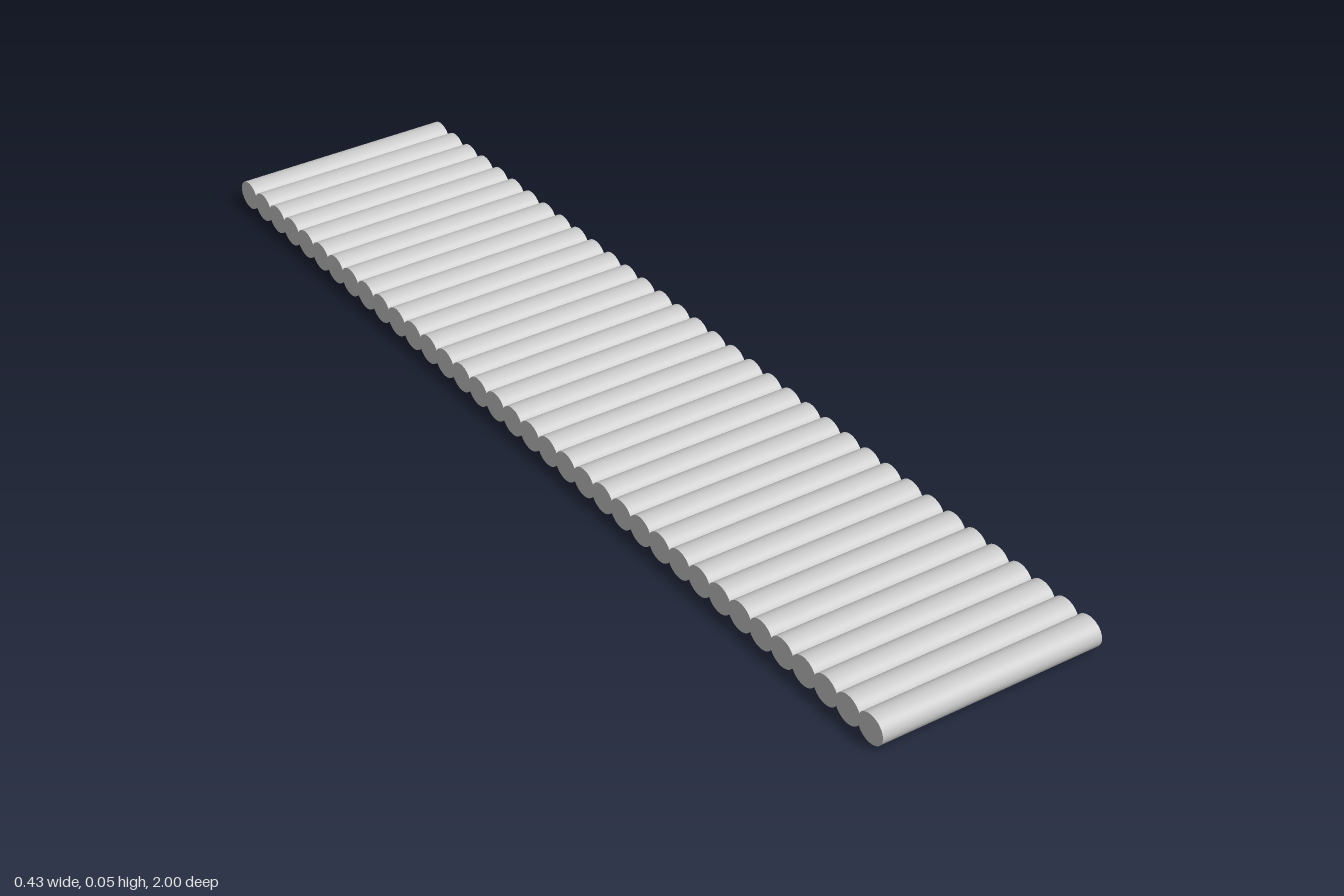
import * as THREE from 'three';

export function createModel() {
  const group = new THREE.Group();
  group.name = 'logWalkway';

  const count = 36, length = 0.43, height = 0.0535, depth = 0.0615;
  const pitch = (2 - depth) / (count - 1);

  // One log: a cylinder laid along x and slightly flattened
  const log = new THREE.CylinderGeometry(0.5, 0.5, length, 32);
  log.rotateZ(Math.PI / 2);
  log.scale(1, height, depth);
  const material = new THREE.MeshStandardMaterial({ color: 0xcccccc });

  // Row of overlapping logs from back to front
  for (let i = 0; i < count; i++) {
    const mesh = new THREE.Mesh(log, material);
    mesh.name = `log${i + 1}`;
    mesh.position.set(0, height / 2, (i - (count - 1) / 2) * pitch);
    group.add(mesh);
  }
  return group;
}
